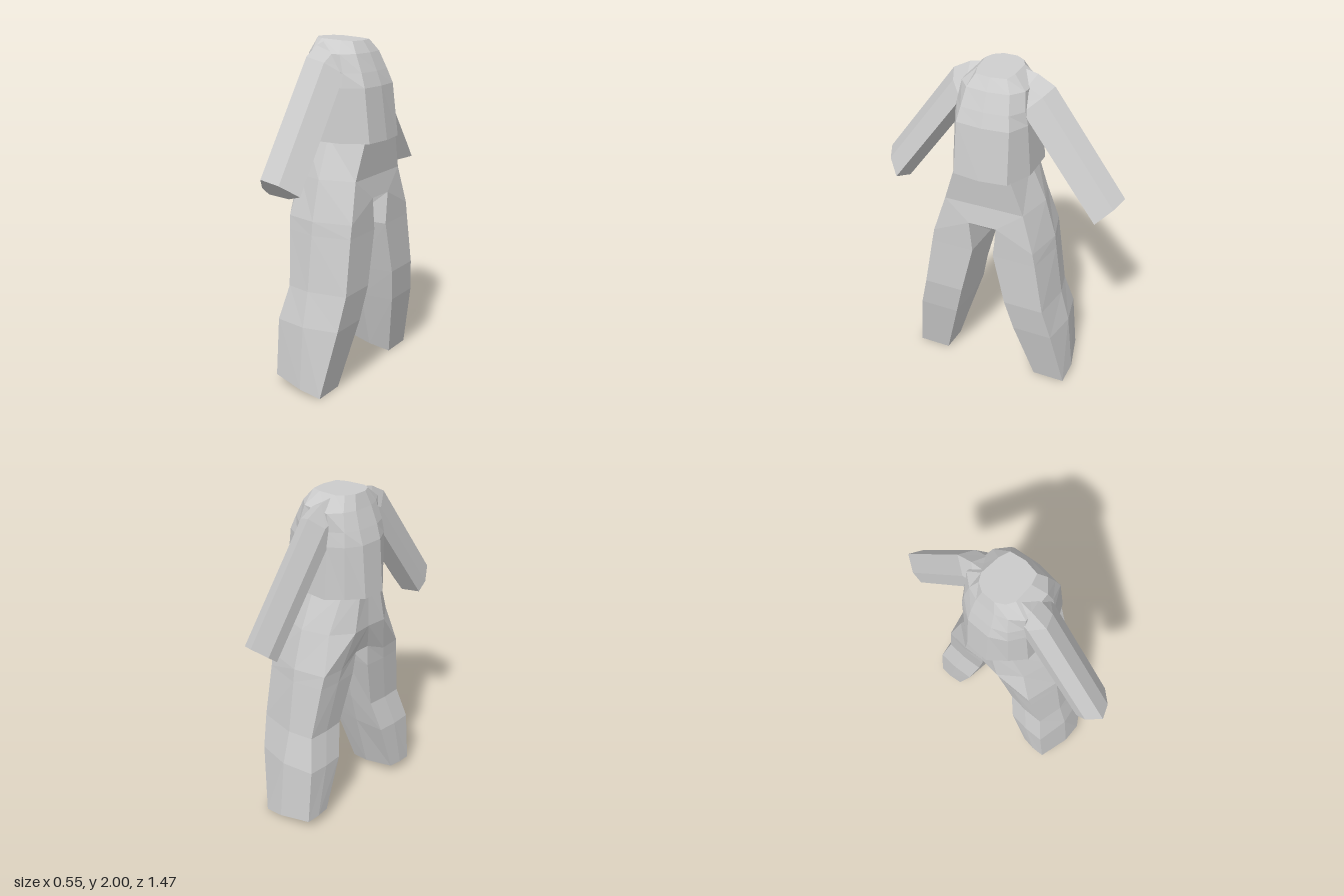
import * as THREE from 'three';

// Closed faceted skin over a row of rings, each a list of [x, y, z]
function loft(rings) {
  const tris = [];
  const n = rings[0].length, last = rings[rings.length - 1];
  for (let k = 0; k < rings.length - 1; k++) {
    for (let i = 0; i < n; i++) {
      const j = (i + 1) % n;
      const a = rings[k][i], b = rings[k][j], c = rings[k + 1][i], d = rings[k + 1][j];
      tris.push([a, b, c], [b, d, c]);
    }
  }
  for (let i = 1; i < n - 1; i++) {
    tris.push([rings[0][0], rings[0][i + 1], rings[0][i]]);
    tris.push([last[0], last[i], last[i + 1]]);
  }
  // turn every face outward, also for mirrored parts
  let volume = 0;
  for (const [a, b, c] of tris) {
    volume += new THREE.Vector3(...a).dot(new THREE.Vector3(...b).cross(new THREE.Vector3(...c)));
  }
  return facets(volume < 0 ? tris.map(([a, b, c]) => [a, c, b]) : tris);
}

function facets(tris) {
  const g = new THREE.BufferGeometry();
  g.setAttribute('position', new THREE.Float32BufferAttribute(tris.flat(2), 3));
  g.computeVertexNormals();
  return g;
}

// Shirt body: half outlines [x, z] from front centre to back, mirrored in z
function shirtBody() {
  const level = (y, tilt, half) => {
    const full = [...half, ...half.slice(1).reverse().map(([x, z]) => [x, -z])];
    return full.map(([x, z]) => [x, y - tilt * x, z]);
  };
  return loft([
    level(1.991, 0.055, [[0.11, 0], [0.095, 0.09], [0.03, 0.11], [-0.09, 0.115], [-0.135, 0.09], [-0.165, 0.04]]),
    level(1.92, 0, [[0.155, 0], [0.14, 0.125], [0.07, 0.185], [-0.11, 0.2], [-0.165, 0.13], [-0.19, 0.06]]),
    level(1.82, 0, [[0.2, 0], [0.185, 0.14], [0.1, 0.2], [-0.12, 0.2], [-0.19, 0.15], [-0.225, 0.07]]),
    level(1.74, 0, [[0.23, 0], [0.215, 0.155], [0.1, 0.215], [-0.12, 0.215], [-0.2, 0.16], [-0.25, 0.07]]),
    level(1.435, 0, [[0.27, 0], [0.25, 0.16], [0.1, 0.235], [-0.12, 0.235], [-0.2, 0.16], [-0.275, 0.07]]),
  ]);
}

// Sleeve: six-sided outline (x, share of height) set between a low and a high [z, y]
function sleeve(s) {
  const outline = [[-0.07, 1], [0.02, 0.76], [0.1, 0.25], [0, 0], [-0.12, 0.12], [-0.12, 0.5]];
  const ring = ([z0, y0], [z1, y1]) =>
    outline.map(([x, t]) => [x, y0 + (y1 - y0) * t, s * (z0 + (z1 - z0) * t)]);
  return loft([
    ring([0.05, 1.8], [0.11, 1.985]),
    ring([0.1, 1.8], [0.2, 1.965]),
    ring([0.145, 1.78], [0.3, 1.91]),
    ring([0.58, 1.18], [0.735, 1.31]),
  ]);
}

// Trouser half: x of front, outer back and seat; z of outer and inner corners
function trouserLeg(s) {
  const ring = (y, [front, back, seat], [oF, o, oB], [iF, i, iB], dy = [0, 0, 0, 0, 0, 0, 0]) => [
    [front, oF], [0, o], [back, oB], [seat, (oB + iB) / 2], [seat + 0.01, iB], [0, i], [front, iF],
  ].map(([x, z], k) => [x, y + dy[k], s * z]);
  return loft([
    ring(1.46, [0.23, -0.18, -0.245], [0.165, 0.195, 0.155], [0, 0, 0]),
    ring(1.23, [0.21, -0.16, -0.25], [0.24, 0.295, 0.24], [0, 0, 0]),
    ring(1.0, [0.23, -0.19, -0.2], [0.31, 0.36, 0.31], [0.085, 0.03, 0.05], [0, 0, 0, 0, 0.06, 0.02, 0.11]),
    ring(0.92, [0.23, -0.18, -0.19], [0.325, 0.37, 0.325], [0.065, 0.052, 0.065]),
    ring(0.6, [0.235, -0.15, -0.155], [0.38, 0.415, 0.38], [0.14, 0.122, 0.14]),
    ring(0.4, [0.21, -0.195, -0.2], [0.43, 0.468, 0.43], [0.19, 0.172, 0.19]),
    ring(0, [0.13, -0.195, -0.2], [0.495, 0.505, 0.46], [0.3, 0.275, 0.3], [0, 0.03, 0.06, 0.065, 0.065, 0.03, 0]),
  ]);
}

// Gusset: strip joining both trouser halves under the crotch, rows of [x, y, half width]
function gusset() {
  const rows = [[0.21, 1.23, 0], [0.23, 1.11, 0.085], [0, 1.02, 0.03], [-0.19, 1.06, 0.05], [-0.24, 1.23, 0]];
  const tris = [];
  for (let k = 0; k < rows.length - 1; k++) {
    const [x0, y0, w0] = rows[k], [x1, y1, w1] = rows[k + 1];
    if (w1 > 0) tris.push([[x0, y0, w0], [x1, y1, w1], [x1, y1, -w1]]);
    else tris.push([[x0, y0, w0], [x1, y1, 0], [x0, y0, -w0]]);
    if (w0 > 0 && w1 > 0) tris.push([[x0, y0, w0], [x1, y1, -w1], [x0, y0, -w0]]);
  }
  return facets(tris);
}

export function createModel() {
  const cloth = new THREE.MeshStandardMaterial({ color: 0xcccccc });
  cloth.name = 'light grey cloth';
  const model = new THREE.Group();
  model.name = 'shirtAndTrousers';
  const add = (name, geometry) => {
    const mesh = new THREE.Mesh(geometry, cloth);
    mesh.name = name;
    model.add(mesh);
  };
  add('shirtBody', shirtBody());
  add('crotchGusset', gusset());
  for (const [side, s] of [['front', 1], ['rear', -1]]) {
    add(side + 'Sleeve', sleeve(s));
    add(side + 'TrouserLeg', trouserLeg(s));
  }
  return model;
}
